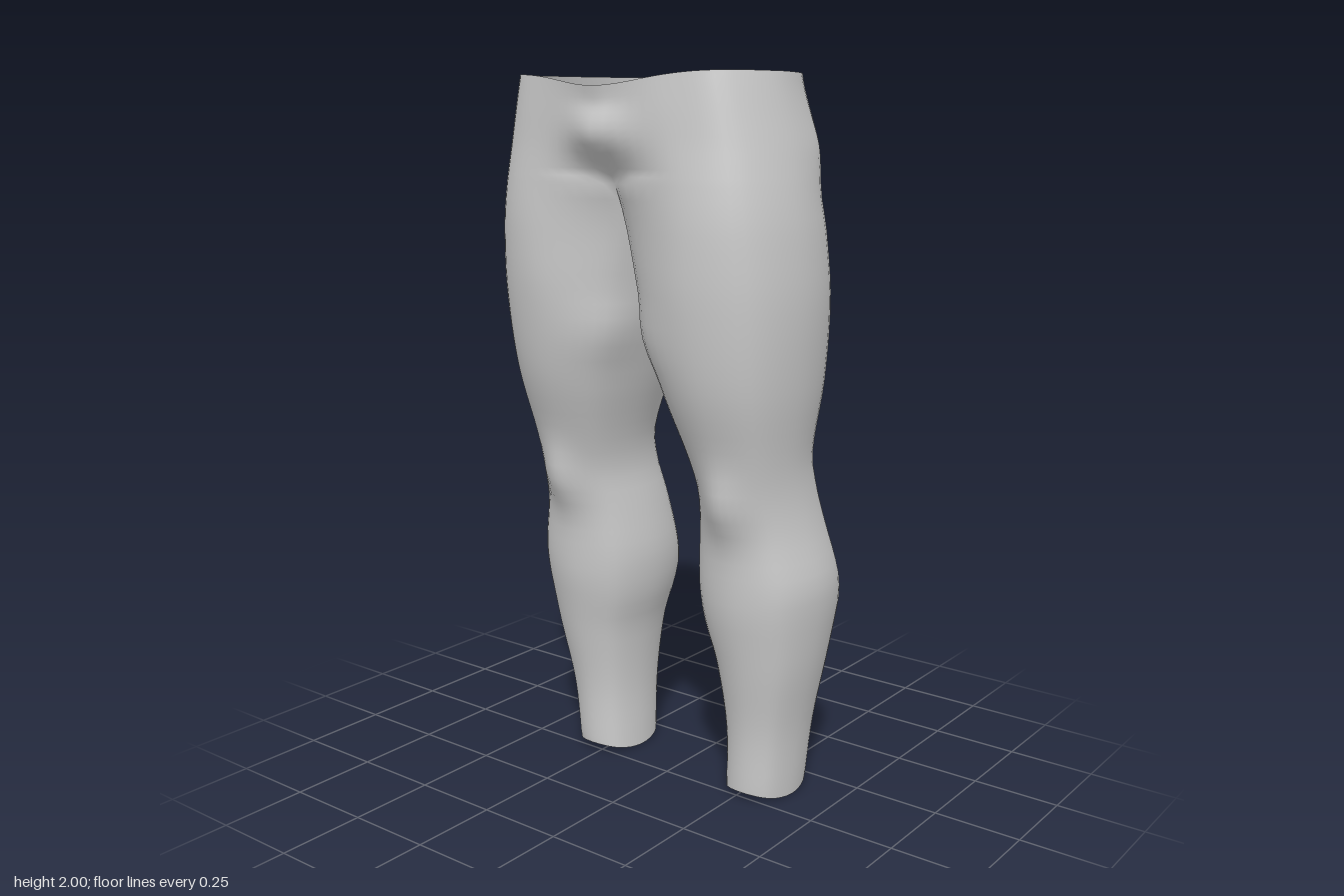
import * as THREE from 'three';
import { mergeVertices } from 'three/addons/utils/BufferGeometryUtils.js';

// Leg sections, bottom to top: y, inner x, outer x, front z, back z
const LEG = [
  [0.00, 0.18, 0.37, 0.015, -0.24],
  [0.20, 0.18, 0.39, 0.025, -0.255],
  [0.40, 0.155, 0.43, 0.06, -0.28],
  [0.50, 0.125, 0.447, 0.08, -0.30],
  [0.57, 0.112, 0.457, 0.093, -0.312],
  [0.65, 0.108, 0.46, 0.10, -0.298],
  [0.80, 0.125, 0.43, 0.108, -0.255],
  [0.90, 0.138, 0.418, 0.125, -0.222],
  [1.00, 0.125, 0.42, 0.162, -0.20],
  [1.20, 0.06, 0.45, 0.23, -0.235],
  [1.42, 0.004, 0.467, 0.267, -0.246],
  [1.60, 0.004, 0.46, 0.276, -0.226],
  [1.70, 0.004, 0.447, 0.275, -0.212],
  [1.76, 0.004, 0.437, 0.273, -0.232],
  [1.82, 0.004, 0.425, 0.271, -0.262],
  [1.90, 0.004, 0.405, 0.270, -0.280],
  [2.00, 0.004, 0.38, 0.268, -0.288],
];
// Centre seam where the legs meet: y, x, front z, back z
const SEAM = [
  [1.42, 0.055, 0.19, -0.17],
  [1.60, 0.015, 0.19, -0.15],
  [1.70, 0, 0.21, -0.15],
  [1.76, 0, 0.235, -0.17],
  [1.82, 0, 0.262, -0.195],
  [1.90, 0, 0.285, -0.22],
  [2.00, 0, 0.305, -0.24],
];
const CROTCH = 1.72;
const ARC = 36, INNER = 12, COLS = ARC + INNER;

// Smooth interpolation through table rows, keyed by the first column
function sample(rows, y) {
  let i = 0;
  while (i < rows.length - 2 && y > rows[i + 1][0]) i++;
  const a = rows[i], b = rows[i + 1];
  const before = rows[Math.max(i - 1, 0)], after = rows[Math.min(i + 2, rows.length - 1)];
  const h = b[0] - a[0], t = (y - a[0]) / h;
  return a.map((v, k) => {
    const m0 = (b[k] - before[k]) / (b[0] - before[0]) * h;
    const m1 = (after[k] - v) / (after[0] - a[0]) * h;
    const t2 = t * t, t3 = t2 * t;
    return v * (2 * t3 - 3 * t2 + 1) + m0 * (t3 - 2 * t2 + t) + b[k] * (3 * t2 - 2 * t3) + m1 * (t3 - t2);
  });
}

const bump = (d, width) => Math.exp(-((d / width) ** 2));

// One ring of the left leg, from front seam round the outside to the back seam and the inner wall
function ring(y) {
  const [, inX, outX, front, back] = sample(LEG, y);
  const rise = THREE.MathUtils.smoothstep(y, 1.7, 2);
  const cx = (inX + outX) / 2, hw = (outX - inX) / 2;
  const cz = (front + back) / 2 + 0.05 * rise;
  const d = 0.75, backD = d - 0.1 * rise;
  let seamX = cx - hw * d, seamF = cz + (front - cz) * d, seamB = cz + (back - cz) * d;
  if (y > 1.2) {
    const k = THREE.MathUtils.smoothstep(y, 1.2, 1.42);
    const s = sample(SEAM, Math.max(y, 1.42));
    seamX += (s[1] - seamX) * k;
    seamF += (s[2] - seamF) * k;
    seamB += (s[3] - seamB) * k;
  }
  const open = y > CROTCH + 0.001;
  const points = [
    [seamX, seamF], [cx, front], [cx + hw * d, cz + (front - cz) * d], [outX, cz],
    [cx + hw * backD, cz + (back - cz) * backD], [cx, back], [seamX, seamB],
  ];
  if (!open) points.push([inX, cz]);
  const curve = new THREE.CatmullRomCurve3(
    points.map(([x, z]) => new THREE.Vector3(x, 0, z)), !open, 'catmullrom', 0.5);

  const out = [];
  for (let c = 0; c < COLS; c++) {
    const u = c <= ARC ? c / ARC * 6 : 6 + (c - ARC) / INNER * 2;
    const p = curve.getPoint(open ? Math.min(u / 6, 1) : u / 8);
    const onSeam = (c === 0 || c === ARC) && y >= CROTCH - 0.03;
    p.x = onSeam ? 0 : Math.max(p.x, 0.003);
    p.y = y;
    if (p.z > cz) {
      // kneecap and front pelvic bulge
      p.z += 0.038 * bump(p.x - 0.285, 0.075) * bump(y - 0.88, 0.085);
      p.z += 0.045 * bump(p.x, 0.09) * bump(y - 1.84, 0.07);
      // waistline dips at the front
      p.y -= 0.035 * bump(p.x, 0.18) * THREE.MathUtils.smoothstep(y, 1.88, 2);
    }
    // wavy ankle hem
    if (y < 0.001) p.y = 0.022 * ((p.z - cz) / (front - cz)) ** 2;
    out.push(p);
  }
  return out;
}

function createTrousers() {
  const heights = [];
  for (let i = 0; i <= 43; i++) heights.push(i * 0.04);
  for (let i = 1; i <= 14; i++) heights.push(CROTCH + i * 0.02);
  const rings = heights.map(ring);
  const positions = [], index = [];
  for (const side of [1, -1]) {
    const base = positions.length / 3;
    rings.forEach(r => r.forEach(p => positions.push(p.x * side, p.y, p.z)));
    for (let j = 0; j < rings.length - 1; j++) {
      // inner walls stop at the crotch
      const n = heights[j + 1] <= CROTCH + 0.001 ? COLS : ARC;
      for (let c = 0; c < n; c++) {
        const a = base + j * COLS + c, b = base + j * COLS + (c + 1) % COLS;
        const e = a + COLS, f = b + COLS;
        if (side > 0) index.push(a, b, f, a, f, e);
        else index.push(a, f, b, a, e, f);
      }
    }
  }
  const geometry = new THREE.BufferGeometry();
  geometry.setAttribute('position', new THREE.Float32BufferAttribute(positions, 3));
  geometry.setIndex(index);
  const welded = mergeVertices(geometry, 1e-4);
  welded.computeVertexNormals();
  return welded;
}

export function createModel() {
  const group = new THREE.Group();
  group.name = 'legs';
  const grey = new THREE.MeshStandardMaterial({ color: 0xcccccc, side: THREE.DoubleSide });
  grey.name = 'light grey';
  const skin = new THREE.Mesh(createTrousers(), grey);
  skin.name = 'trousers';
  group.add(skin);
  return group;
}
